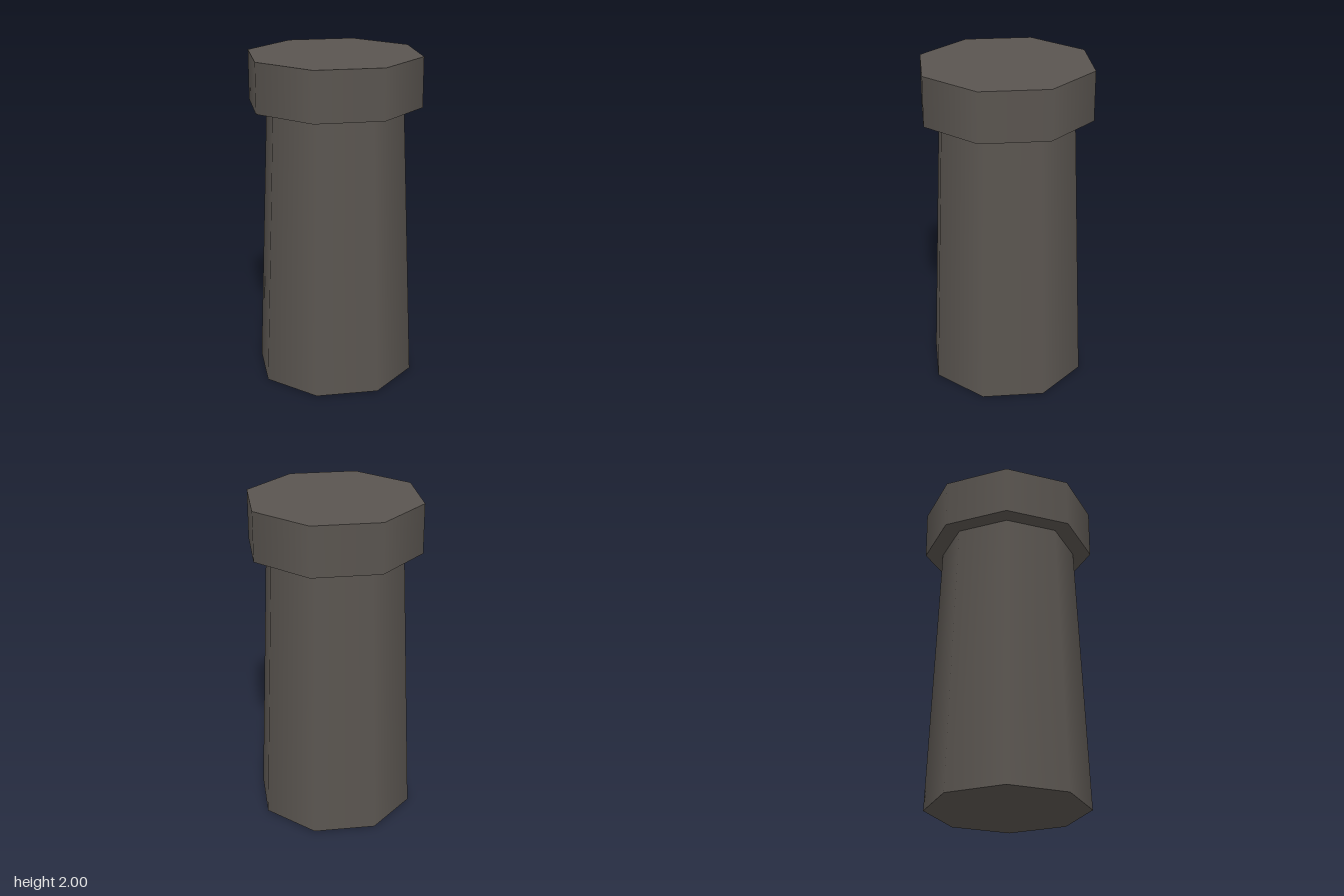
import * as THREE from 'three';

export function createModel() {
  const group = new THREE.Group();
  group.name = 'chimneyPot';
  const stone = new THREE.MeshStandardMaterial({ color: 0x5a5550 });
  stone.name = 'dark stone';

  // Eight-sided tapered section with smooth-shaded walls
  const addSection = (name, topRadius, bottomRadius, y0, y1) => {
    const geometry = new THREE.CylinderGeometry(topRadius, bottomRadius, y1 - y0, 8);
    const mesh = new THREE.Mesh(geometry, stone);
    mesh.name = name;
    mesh.position.y = (y0 + y1) / 2;
    group.add(mesh);
  };

  addSection('shaft', 0.42, 0.49, 0, 1.7); // tapering body
  addSection('cap', 0.53, 0.53, 1.7, 2); // wider rim on top

  return group;
}
